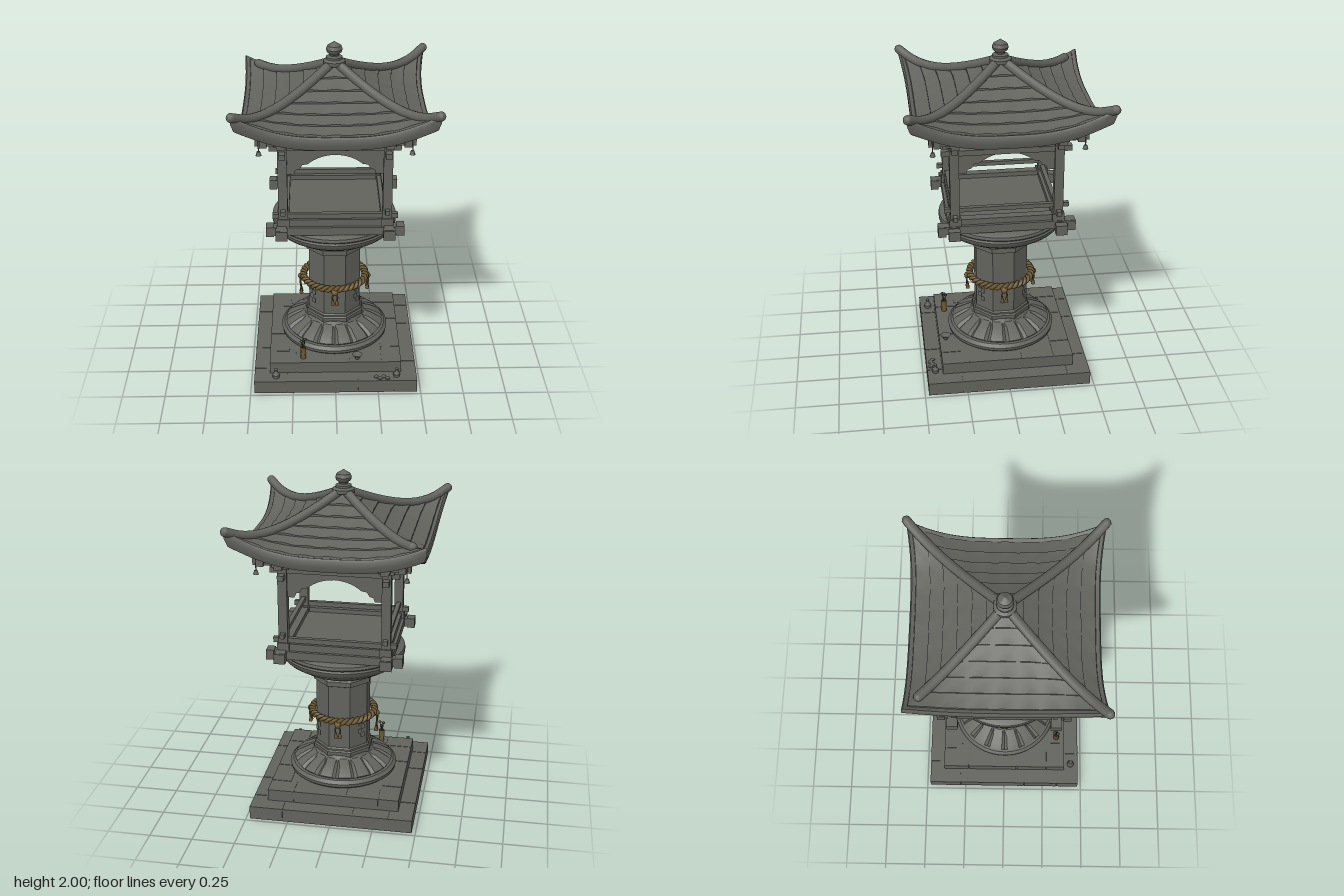
import * as THREE from 'three';
import { toCreasedNormals } from 'three/addons/utils/BufferGeometryUtils.js';

const mat = (name, color, extra = {}) => {
  const m = new THREE.MeshStandardMaterial({ color, ...extra });
  m.name = name;
  return m;
};

export function createModel() {
  const root = new THREE.Group();
  root.name = 'stoneLantern';
  const stone = mat('stone', 0x62635d);
  const straw = mat('straw', 0x6a5630);
  const leaf = mat('leaf', 0x3f4434);
  const paper = mat('paper', 0x6a6b66, { side: THREE.DoubleSide });

  const group = (name, parent = root) => {
    const g = new THREE.Group();
    g.name = name;
    parent.add(g);
    return g;
  };
  const add = (name, geo, parent = root, material = stone, x = 0, y = 0, z = 0) => {
    const m = new THREE.Mesh(geo, material);
    m.name = name;
    m.position.set(x, y, z);
    parent.add(m);
    return m;
  };
  // Box given by centre x and z, bottom and top y, and sizes
  const box = (name, parent, x, z, y0, y1, w, d, material = stone) =>
    add(name, new THREE.BoxGeometry(w, y1 - y0, d), parent, material, x, (y0 + y1) / 2, z);
  const lathe = (pts, seg, phase = 0, crease = 0.6) => toCreasedNormals(
    new THREE.LatheGeometry(pts.map(([r, y]) => new THREE.Vector2(r, y)), seg, phase), crease);
  const v3 = (x, y, z) => new THREE.Vector3(x, y, z);

  // Two stepped tiers, each a core with a border of paving stones
  const tier = (name, half, y0, y1, depth, cuts) => {
    const g = group(name);
    box('core', g, 0, 0, y0, y1 - 0.003, 2 * half - 0.012, 2 * half - 0.012);
    for (let k = 0; k < 4; k++) {
      const side = group('paving', g);
      side.rotation.y = k * Math.PI / 2;
      const xs = [-half, ...cuts, half - depth];
      for (let i = 0; i < xs.length - 1; i++)
        box('pavingStone', side, (xs[i] + xs[i + 1]) / 2, half - depth / 2, y0, y1, xs[i + 1] - xs[i] - 0.005, depth - 0.004);
    }
  };
  tier('lowerStep', 0.48, 0, 0.08, 0.14, [-0.28, 0.13]);
  tier('upperStep', 0.39, 0.08, 0.15, 0.12, [-0.23, 0.08]);

  // Round foot with grooved petals
  const foot = new THREE.LatheGeometry([[0, 0.15], [0.3, 0.15], [0.318, 0.165], [0.322, 0.185], [0.305, 0.203], [0.29, 0.206],
    [0.295, 0.215], [0.27, 0.235], [0.22, 0.262], [0.18, 0.278], [0.17, 0.295], [0, 0.295]].map(p => new THREE.Vector2(...p)), 96);
  const fp = foot.attributes.position;
  for (let i = 0; i < fp.count; i++) {
    const ring = Math.floor(i / 12);
    if (ring % 6 === 0 && fp.getY(i) > 0.21 && fp.getY(i) < 0.27)
      fp.setXYZ(i, fp.getX(i) * 0.97, fp.getY(i) - 0.012, fp.getZ(i) * 0.97);
  }
  add('petalFoot', toCreasedNormals(foot, 0.5));

  // Eight-sided column with collars
  const oct = 1 / Math.cos(Math.PI / 8);
  add('column', lathe([[0, 0.28], [0.165, 0.285], [0.168, 0.295], [0.168, 0.315], [0.16, 0.322], [0.16, 0.332], [0.152, 0.34],
    [0.152, 0.738], [0.165, 0.745], [0.165, 0.775], [0.15, 0.79], [0, 0.8]].map(([r, y]) => [r * oct, y]), 8, Math.PI / 8, 0.3));

  // Bowl under the lamp house
  add('bowl', lathe([[0, 0.77], [0.14, 0.775], [0.2, 0.8], [0.27, 0.836], [0.335, 0.878], [0.357, 0.9], [0.362, 0.92],
    [0.356, 0.93], [0.364, 0.94], [0.36, 0.957], [0.335, 0.972], [0, 0.975]], 48));

  // Twisted rope with tassels and folded streamers
  const rope = group('rope');
  for (let s = 0; s < 2; s++) {
    const pts = [];
    for (let i = 0; i < 180; i++) {
      const a = i / 180 * Math.PI * 2, b = a * 18 + s * Math.PI;
      const r = 0.186 + 0.011 * Math.cos(b);
      pts.push(v3(r * Math.sin(a), 0.53 + 0.011 * Math.sin(b), r * Math.cos(a)));
    }
    add('ropeStrand', new THREE.TubeGeometry(new THREE.CatmullRomCurve3(pts, true), 360, 0.012, 6, true), rope, straw);
  }
  for (let k = 0; k < 4; k++) {
    const g = group('hanging', rope);
    g.rotation.y = k * Math.PI / 2;
    const drop = k === 3 ? 0.03 : 0;
    add('knot', new THREE.SphereGeometry(0.02, 10, 8), g, straw, 0, 0.515, 0.2);
    for (const s of [-1, 1]) {
      add('cord', new THREE.TubeGeometry(new THREE.CatmullRomCurve3([v3(0, 0.515, 0.2), v3(s * 0.015, 0.49, 0.205),
        v3(s * 0.012, 0.46 - drop, 0.2)]), 8, 0.005, 5), g, straw);
      add('tassel', new THREE.CylinderGeometry(0.006, 0.012, 0.032, 8), g, straw, s * 0.012, 0.447 - drop, 0.2);
    }
    const sh = group('streamer', rope);
    sh.rotation.y = (k + 0.5) * Math.PI / 2;
    for (let i = 0; i < 4; i++)
      box('streamerFold', sh, (i % 2 ? 0.009 : -0.009), 0.182, 0.492 - i * 0.027, 0.522 - i * 0.027, 0.024, 0.003, paper);
  }

  // Lamp house: floor tray, crossing beams, rails, posts and arches
  const house = group('lampHouse');
  box('floor', house, 0, 0, 0.97, 1.035, 0.58, 0.58);
  const arch = new THREE.Shape();
  arch.moveTo(-0.265, 1.48);
  [[-0.265, 1.34], [-0.225, 1.34], [-0.215, 1.365], [-0.195, 1.37], [-0.18, 1.395], [-0.15, 1.4]].forEach(p => arch.lineTo(...p));
  arch.quadraticCurveTo(-0.09, 1.452, 0, 1.455);
  arch.quadraticCurveTo(0.09, 1.452, 0.15, 1.4);
  [[0.18, 1.395], [0.195, 1.37], [0.215, 1.365], [0.225, 1.34], [0.265, 1.34], [0.265, 1.48]].forEach(p => arch.lineTo(...p));
  const archGeo = new THREE.ExtrudeGeometry(arch, { depth: 0.02, bevelEnabled: false, curveSegments: 8 });
  for (let k = 0; k < 4; k++) {
    const g = group('houseSide', house);
    g.rotation.y = k * Math.PI / 2;
    const o = k % 2; // beams on neighbouring sides sit at different heights where they cross
    box('sillBeam', g, 0, 0.3, 0.972 + o * 0.008, 1.02 + o * 0.008, 0.76, 0.055);
    for (const s of [-1, 1]) box('sillEnd', g, s * 0.365, 0.3, 0.968, 1.026, 0.045, 0.065);
    box('trayEdge', g, 0, 0.285, 1.02, 1.062, 0.62, 0.05);
    box('rail', g, 0, 0.29, o ? 1.105 : 1.066, o ? 1.13 : 1.095, 0.7, 0.026);
    box('upperBeam', g, 0, 0.29, o ? 1.45 : 1.482, o ? 1.482 : 1.512, 0.72, 0.035);
    add('archPanel', archGeo, g, stone, 0, 0, 0.28);
    // Corner post with its bracket
    box('post', g, 0.29, 0.29, 1.0, 1.56, 0.052, 0.052);
    box('postFoot', g, 0.29, 0.29, 1.02, 1.07, 0.068, 0.068);
    box('postCap', g, 0.29, 0.29, 1.512, 1.54, 0.085, 0.085);
    box('bracketArm', g, 0, 0.29, 1.53, 1.565, 0.82, 0.045);
    for (const s of [-1, 1]) box('bracketBlock', g, s * 0.385, 0.29, 1.55, 1.59, 0.06, 0.065);
    box('eaveBeam', g, 0, 0.385, 1.555, 1.6, 0.86, 0.04);
    box('ceilingBeam', g, 0, 0.1, 1.535 + o * 0.012, 1.565 + o * 0.012, 0.58, 0.035);
    // Small bell under the eave corner
    add('eaveBell', lathe([[0.016, 0], [0.012, 0.012], [0.009, 0.022], [0, 0.026]], 10), g, stone, 0.41, 1.505, 0.41).material = stone;
    add('bellCord', new THREE.CylinderGeometry(0.003, 0.003, 0.1, 5), g, stone, 0.41, 1.575, 0.41);
  }
  add('lampHook', new THREE.CylinderGeometry(0.005, 0.005, 0.14, 6), house, stone, 0, 1.55, 0);

  // Roof: square rings swept from the apex out over the rim and back below
  const roof = group('roof');
  const roofPoint = (u, t, k, y) => {
    const a = k * Math.PI / 2, c = Math.cos(a), s = Math.sin(a);
    const broken = t * c + s < -0.001 && c - t * s < -0.001;
    const ext = u * (0.51 + (broken ? 0.012 : 0.033) * t ** 4);
    const lift = (broken ? 0.1 : 0.14) * u ** 4 * Math.abs(t) ** 3;
    return v3(ext * (t * c + s), y + lift, ext * (c - t * s));
  };
  const top = u => 1.88 - 0.25 * (1.4 * u - 0.4 * u * u);
  const rows = [[0.01, 1.88, 0]];
  const courses = 6;
  for (let i = 0; i < courses; i++) {
    const u0 = 0.04 + 0.9 * i / courses, u1 = 0.04 + 0.9 * (i + 1) / courses;
    rows.push([u0, top(u0), 0], [(u0 + u1) / 2, top((u0 + u1) / 2) + 0.003, 0], [u1, top(u1) + 0.009, 0.003]);
  }
  rows.push([0.945, top(0.945), 0], [0.985, 1.645, 0], [1, 1.632, 0], [1, 1.6, 0], [0.975, 1.568, 0], [0.95, 1.566, 0],
    [0.9, 1.585, 0], [0.75, 1.6, 0], [0.5, 1.625, 0], [0.01, 1.65, 0]);
  const N = 40, pos = [], index = [];
  for (let k = 0; k < 4; k++) {
    const start = pos.length / 3;
    rows.forEach(([u, y, wave], j) => {
      for (let i = 0; i <= N; i++) {
        const t = i / N * 2 - 1;
        pos.push(...roofPoint(u, t, k, y + wave * Math.cos(t * u * 8 * Math.PI)).toArray());
        if (j && i < N) {
          const a = start + (j - 1) * (N + 1) + i, c = a + N + 1;
          index.push(a, c, a + 1, a + 1, c, c + 1);
        }
      }
    });
  }
  const roofGeo = new THREE.BufferGeometry();
  roofGeo.setAttribute('position', new THREE.Float32BufferAttribute(pos, 3));
  roofGeo.setIndex(index);
  add('tiledRoof', toCreasedNormals(roofGeo, 0.6), roof);

  // Hip ridges; the one at the back right is broken short
  for (let k = 0; k < 4; k++) {
    const end = k === 2 ? 0.84 : 0.99;
    const pts = [];
    for (let i = 0; i <= 8; i++) {
      const u = 0.03 + (end - 0.03) * i / 8;
      pts.push(roofPoint(u, 1, k, top(u) + 0.008));
    }
    add('hipRidge', new THREE.TubeGeometry(new THREE.CatmullRomCurve3(pts), 24, 0.026, 10), roof);
    const tip = pts[8];
    add('ridgeEnd', new THREE.SphereGeometry(0.026, 10, 8), roof, stone, tip.x, tip.y, tip.z);
  }

  // Finial
  add('finial', lathe([[0, 1.86], [0.062, 1.87], [0.062, 1.89], [0.045, 1.9], [0.045, 1.912], [0.025, 1.918], [0.026, 1.926],
    [0.042, 1.94], [0.046, 1.955], [0.038, 1.975], [0.016, 1.988], [0, 2]], 20), roof);

  // Offerings left on the steps
  const gifts = group('offerings');
  add('flowerTube', lathe([[0, 0.15], [0.017, 0.15], [0.017, 0.18], [0.019, 0.182], [0.017, 0.185], [0.017, 0.225], [0.012, 0.225], [0.012, 0.2], [0, 0.2]], 12), gifts, straw, -0.19, 0, 0.335);
  for (const [dx, dz, h] of [[-0.01, 0.008, 0.27], [0.012, 0, 0.28], [0, -0.012, 0.262]]) {
    add('sprigStem', new THREE.TubeGeometry(new THREE.LineCurve3(v3(-0.19, 0.2, 0.335), v3(-0.19 + dx, h, 0.335 + dz)), 2, 0.003, 5), gifts, leaf);
    add('sprigLeaf', new THREE.SphereGeometry(0.011, 8, 6), gifts, leaf, -0.19 + dx, h, 0.335 + dz).scale.y = 0.6;
  }
  add('offeringBowl', lathe([[0, 0], [0.012, 0], [0.014, 0.01], [0.03, 0.03], [0.026, 0.03], [0, 0.014]], 16), gifts, stone, 0.13, 0.15, 0.35);
  for (const [x, z, s] of [[-0.35, 0.43, 1], [0.36, 0.43, 0.9]])
    add('smallJar', lathe([[0, 0], [0.02, 0], [0.022, 0.02], [0.012, 0.036], [0.009, 0.05], [0.012, 0.056], [0, 0.058]], 12), gifts, stone, x, 0.08, z).scale.setScalar(s);
  for (let i = 0; i < 4; i++)
    add('coin', new THREE.CylinderGeometry(0.014, 0.014, 0.006, 12), gifts, stone, 0.24 + i * 0.022, 0.083, 0.44 + (i % 2) * 0.015);

  return root;
}
